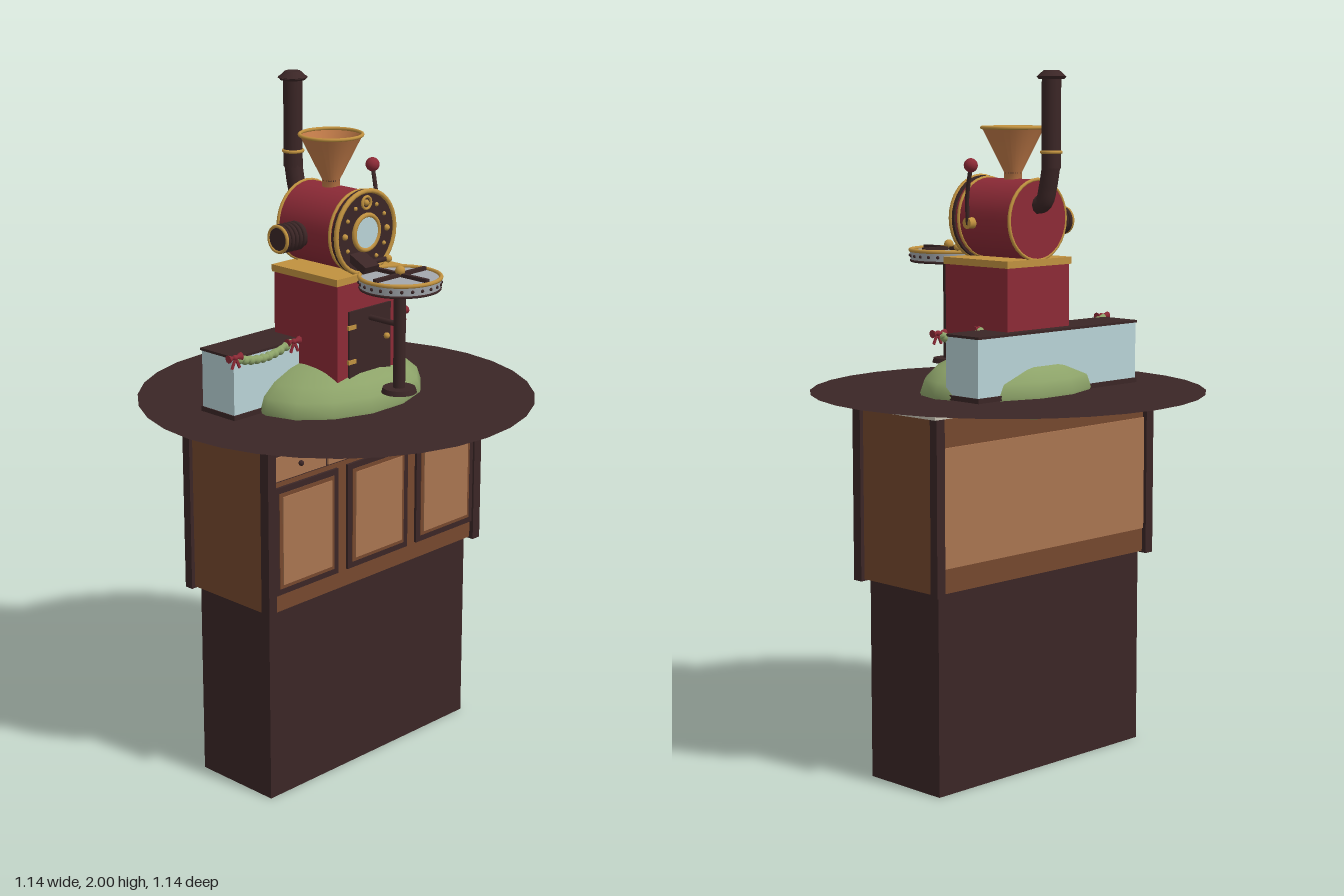
import * as THREE from 'three';

const mat = (name, color, side = THREE.FrontSide) => {
  const m = new THREE.MeshStandardMaterial({ color, side });
  m.name = name;
  return m;
};

export function createModel() {
  const root = new THREE.Group();
  root.name = 'snackMachineOnCabinet';
  const dark = mat('dark wood', 0x3b2626, THREE.DoubleSide);
  const red = mat('red enamel', 0x8c2a36);
  const gold = mat('gold', 0xc0913f);
  const copper = mat('copper', 0xc07a48, THREE.DoubleSide);
  const green = mat('green', 0x8da369);
  const blue = mat('pale blue', 0xb8d2d6);
  const grey = mat('grey metal', 0xa4a9ae);
  const stone = mat('stone', 0xc8c3b4);
  const brown = mat('brown wood', 0x75482e);
  const tan = mat('light wood', 0xa87450);

  const add = (name, geo, m, x = 0, y = 0, z = 0, parent = root) => {
    const mesh = new THREE.Mesh(geo, m);
    mesh.name = name;
    mesh.position.set(x, y, z);
    parent.add(mesh);
    return mesh;
  };
  // box given by its limits
  const box = (name, m, x0, x1, y0, y1, z0, z1) =>
    add(name, new THREE.BoxGeometry(x1 - x0, y1 - y0, z1 - z0), m, (x0 + x1) / 2, (y0 + y1) / 2, (z0 + z1) / 2);
  const cyl = (name, m, r0, r1, h, x, y, z, axis = 'y', seg = 24) => {
    const g = new THREE.CylinderGeometry(r1, r0, h, seg);
    if (axis === 'z') g.rotateX(Math.PI / 2);
    if (axis === 'x') g.rotateZ(-Math.PI / 2);
    return add(name, g, m, x, y, z);
  };
  const ring = (name, m, r, t, x, y, z, axis = 'z') => {
    const g = new THREE.TorusGeometry(r, t, 8, 32);
    if (axis === 'y') g.rotateX(Math.PI / 2);
    if (axis === 'x') g.rotateY(Math.PI / 2);
    return add(name, g, m, x, y, z);
  };
  const ball = (name, m, r, x, y, z) => add(name, new THREE.SphereGeometry(r, 14, 10), m, x, y, z);
  const tube = (name, m, pts, r, seg = 20) => {
    const c = new THREE.CatmullRomCurve3(pts.map(p => new THREE.Vector3(...p)));
    return add(name, new THREE.TubeGeometry(c, seg, r, 10), m);
  };

  // Plinth and cabinet
  box('plinth', dark, -0.41, 0.41, 0, 0.58, -0.14, 0.14);
  box('cabinetBody', brown, -0.43, 0.43, 0.58, 1.07, -0.155, 0.16);
  for (const s of [-1, 1]) {
    for (const [z0, z1] of [[-0.17, -0.143], [0.143, 0.174]])
      box('cornerPost', dark, s * 0.427 - 0.015, s * 0.427 + 0.015, 0.575, 1.07, z0, z1);
  }
  box('backPanel', tan, -0.412, 0.412, 0.65, 0.985, -0.16, -0.154);
  box('countertop', stone, -0.45, 0.45, 1.068, 1.09, -0.172, 0.178);

  // Framed doors
  for (const x of [-0.288, 0, 0.288]) {
    box('doorFrame', dark, x - 0.125, x + 0.125, 0.632, 0.947, 0.158, 0.168);
    box('doorBevel', brown, x - 0.107, x + 0.107, 0.65, 0.93, 0.162, 0.170);
    box('doorPanel', tan, x - 0.096, x + 0.096, 0.661, 0.919, 0.166, 0.173);
  }
  // Drawers with knobs
  box('drawerSurround', dark, -0.413, 0.413, 0.963, 1.04, 0.156, 0.164);
  for (let i = 0; i < 4; i++) {
    const x = -0.315 + i * 0.21;
    box('drawer', tan, x - 0.1, x + 0.1, 0.968, 1.036, 0.16, 0.17);
    ball('drawerKnob', dark, 0.008, x, 1.002, 0.174);
  }

  // Round flat canopy over the counter
  const disc = new THREE.CircleGeometry(0.57, 32);
  disc.rotateX(-Math.PI / 2);
  add('roundTop', disc, dark, 0, 1.092, 0);

  // Green mound
  const mound = new THREE.SphereGeometry(1, 14, 10);
  mound.scale(0.287, 0.12, 0.207);
  add('mound', mound, green, 0, 1.1, 0.003);

  // Display box with dark lid and foot
  box('displayBox', blue, -0.378, 0.268, 1.1, 1.27, -0.152, -0.024);
  box('displayLid', dark, -0.381, 0.271, 1.27, 1.277, -0.156, -0.02);
  box('displayFoot', dark, -0.381, 0.271, 1.093, 1.107, -0.156, -0.02);

  // Garlands with bows
  for (const [x0, x1] of [[-0.385, -0.16], [0.125, 0.285]]) {
    const mid = (x0 + x1) / 2;
    tube('garland', green, [[x0, 1.275, -0.02], [mid, 1.252, -0.018], [x1, 1.275, -0.02]], 0.01);
    for (let i = 1; i < 10; i++) {
      const t = i / 10;
      ball('garlandLeaves', green, 0.013, x0 + (x1 - x0) * t, 1.275 - 0.092 * t * (1 - t), -0.019);
    }
    for (const x of [x0, x1]) {
      for (const s of [-1, 1]) {
        const loop = add('bowLoop', new THREE.ConeGeometry(0.012, 0.025, 8), red, x + s * 0.011, 1.279, -0.012);
        loop.rotation.z = s * 1.5;
        const tail = add('bowTail', new THREE.BoxGeometry(0.007, 0.03, 0.005), red, x + s * 0.008, 1.262, -0.008);
        tail.rotation.z = s * 0.45;
      }
      ball('bowKnot', red, 0.008, x, 1.279, -0.01);
    }
  }

  // Firebox with door
  box('firebox', red, -0.125, 0.125, 1.1, 1.455, -0.122, 0.127);
  box('fireboxTrim', gold, -0.13, 0.13, 1.455, 1.475, -0.127, 0.13);
  box('fireboxDoor', dark, -0.084, 0.084, 1.17, 1.375, 0.126, 0.133);
  ball('doorKnob', gold, 0.009, 0.062, 1.28, 0.139);
  for (const y of [1.23, 1.33]) box('doorHinge', gold, -0.09, -0.06, y - 0.006, y + 0.006, 0.13, 0.137);

  // Boiler barrel
  const by = 1.585;
  cyl('barrel', red, 0.113, 0.113, 0.225, 0, by, -0.008, 'z', 32);
  for (const z of [-0.117, 0.085]) ring('barrelBand', gold, 0.113, 0.005, 0, by, z);
  cyl('frontFlange', dark, 0.119, 0.119, 0.016, 0, by, 0.106, 'z', 32);
  ring('frontRim', gold, 0.116, 0.007, 0, by, 0.113);
  cyl('window', blue, 0.046, 0.046, 0.01, 0, by, 0.115, 'z');
  ring('windowRim', gold, 0.049, 0.007, 0, by, 0.117);
  for (let i = 0; i < 12; i++) {
    const a = i * Math.PI / 6;
    ball('rivet', gold, i % 3 ? 0.006 : 0.009, 0.084 * Math.sin(a), by + 0.084 * Math.cos(a), 0.115);
  }
  ring('gaugeRim', gold, 0.017, 0.004, 0, by + 0.084, 0.117);

  // Funnel
  const profile = [[0.025, 1.67], [0.025, 1.715], [0.088, 1.84]].map(p => new THREE.Vector2(...p));
  add('funnel', new THREE.LatheGeometry(profile, 28), copper, 0, 0, -0.02);
  ring('funnelRim', gold, 0.088, 0.005, 0, 1.841, -0.02, 'y');
  cyl('funnelThroat', dark, 0.025, 0.025, 0.006, 0, 1.715, -0.02);

  // Chimney
  tube('chimneyElbow', dark, [[0, 1.625, -0.11], [0, 1.635, -0.142], [0, 1.68, -0.158], [0, 1.74, -0.17]], 0.026);
  cyl('chimneyPipe', dark, 0.027, 0.027, 0.26, 0, 1.86, -0.17);
  ring('chimneyBand', gold, 0.027, 0.005, 0, 1.775, -0.17, 'y');
  cyl('chimneyCap', dark, 0.042, 0.022, 0.018, 0, 1.991, -0.17);
  cyl('chimneyCapLip', dark, 0.036, 0.042, 0.008, 0, 1.98, -0.17);

  // Ribbed motor on the side
  cyl('motor', dark, 0.034, 0.034, 0.1, -0.145, 1.573, -0.035, 'x');
  for (let i = 0; i < 5; i++) ring('motorRib', dark, 0.035, 0.006, -0.125 - i * 0.015, 1.573, -0.035, 'x');
  ring('motorBand', gold, 0.036, 0.005, -0.193, 1.573, -0.035, 'x');

  // Lever
  cyl('leverPivot', gold, 0.016, 0.016, 0.03, 0.12, 1.575, 0.03, 'x');
  tube('leverRod', dark, [[0.13, 1.57, 0.03], [0.138, 1.65, 0.024], [0.147, 1.735, 0]], 0.006);
  ball('leverKnob', red, 0.02, 0.147, 1.738, 0);

  // Cooling tray on its stand
  const tz = 0.245;
  cyl('tray', grey, 0.112, 0.115, 0.03, 0, 1.466, tz, 'y', 32);
  ring('trayRim', gold, 0.113, 0.006, 0, 1.483, tz, 'y');
  ring('trayLowerEdge', dark, 0.111, 0.004, 0, 1.452, tz, 'y');
  for (let i = 0; i < 24; i++) {
    const a = i * Math.PI / 12;
    ball('trayHole', dark, 0.005, 0.113 * Math.sin(a), 1.467, tz + 0.113 * Math.cos(a));
  }
  box('stirArm', dark, -0.102, 0.102, 1.483, 1.493, tz - 0.006, tz + 0.006);
  box('stirArm', dark, -0.006, 0.006, 1.483, 1.493, tz - 0.102, tz + 0.102);
  ball('stirKnob', gold, 0.014, 0, 1.499, tz);
  cyl('trayPost', dark, 0.017, 0.017, 0.3, 0, 1.303, tz, 'y', 16);
  cyl('trayFoot', dark, 0.05, 0.046, 0.014, 0, 1.158, tz);
  cyl('trayBrace', dark, 0.008, 0.008, 0.12, 0, 1.345, 0.185, 'z', 10);

  // Chute and tap above the tray
  const chute = box('chute', dark, -0.062, -0.006, 1.498, 1.52, 0.105, 0.172);
  chute.rotation.x = 0.45;
  cyl('tapStem', dark, 0.007, 0.007, 0.07, 0.04, 1.5, 0.127, 'x', 10);
  ball('tapKnob', gold, 0.011, 0.075, 1.5, 0.13);

  return root;
}
